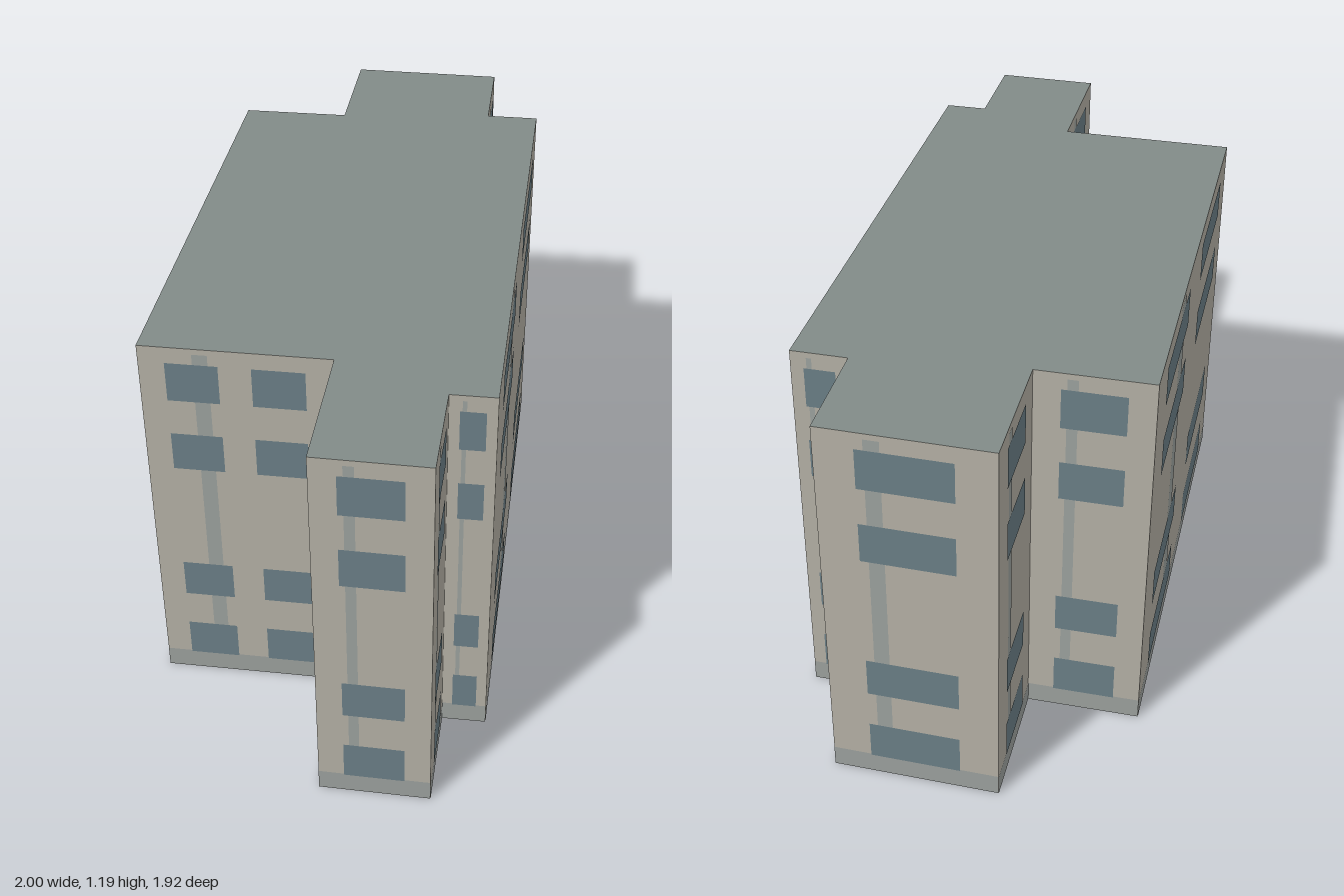
import * as THREE from 'three';

const HEIGHT = 1.187;

// Footprint corners (x, z), ordered left to right as each wall is seen from outside
const CORNERS = [
  [-0.966, -0.108], [0.077, 0.96], [0.466, 0.58], [0.768, 0.888],
  [1.0, 0.666], [0.78, 0.442], [0.873, 0.35], [-0.30, -0.846],
  [-0.418, -0.73], [-0.65, -0.96], [-1.0, -0.622], [-0.728, -0.345],
];

// Bottom and top of each window row
const ROWS = [[0.062, 0.185], [0.302, 0.425], [0.777, 0.90], [1.013, 1.137]];

const paint = (color) => new THREE.MeshStandardMaterial({ color, roughness: 0.9 });
const wallPaint = paint(0xb5b1a6);
const windowPaint = paint(0x6b7f87);
const bandPaint = paint(0x9ca19e);
const stripPaint = paint(0x9ca29f);
const roofPaint = paint(0x828b88);
// The shell is open at the bottom, so its inner faces show
wallPaint.side = THREE.DoubleSide;
roofPaint.side = THREE.DoubleSide;

// Window columns and vertical strip as fractions of the wall length
function wallLayout(length) {
  if (length > 1) return { columns: [[0.11, 0.408], [0.59, 0.89]], strip: [0.29, 0.35] };
  if (length > 0.5) return { columns: [[0.137, 0.41], [0.58, 0.855]], strip: [0.28, 0.36] };
  return { columns: [[0.23, 0.77]], strip: [0.28, 0.37] };
}

// Flat rectangle in wall coordinates, lifted slightly off the wall
function panel(name, material, x0, x1, y0, y1, lift) {
  const mesh = new THREE.Mesh(new THREE.PlaneGeometry(x1 - x0, y1 - y0), material);
  mesh.name = name;
  mesh.position.set((x0 + x1) / 2, (y0 + y1) / 2, lift);
  return mesh;
}

function createWall([ax, az], [bx, bz]) {
  const length = Math.hypot(bx - ax, bz - az);
  const { columns, strip } = wallLayout(length);
  const wall = new THREE.Group();
  wall.name = 'wall';
  wall.add(
    panel('wallSurface', wallPaint, 0, length, 0, HEIGHT, 0),
    panel('verticalStrip', stripPaint, strip[0] * length, strip[1] * length, 0.065, 1.17, 0.001),
    panel('baseBand', bandPaint, 0, length, 0, 0.065, 0.001),
  );
  for (const [y0, y1] of ROWS)
    for (const [t0, t1] of columns)
      wall.add(panel('window', windowPaint, t0 * length, t1 * length, y0, y1, 0.002));
  wall.position.set(ax, 0, az);
  wall.rotation.y = Math.atan2(az - bz, bx - ax);
  return wall;
}

export function createModel() {
  const model = new THREE.Group();
  model.name = 'apartmentBlock';

  // Walls around the footprint
  CORNERS.forEach((corner, i) => model.add(createWall(corner, CORNERS[(i + 1) % CORNERS.length])));

  // Flat roof
  const roofShape = new THREE.Shape(CORNERS.map(([x, z]) => new THREE.Vector2(x, -z)));
  const roof = new THREE.Mesh(new THREE.ShapeGeometry(roofShape), roofPaint);
  roof.name = 'roof';
  roof.rotation.x = -Math.PI / 2;
  roof.position.y = HEIGHT;
  model.add(roof);
  return model;
}
